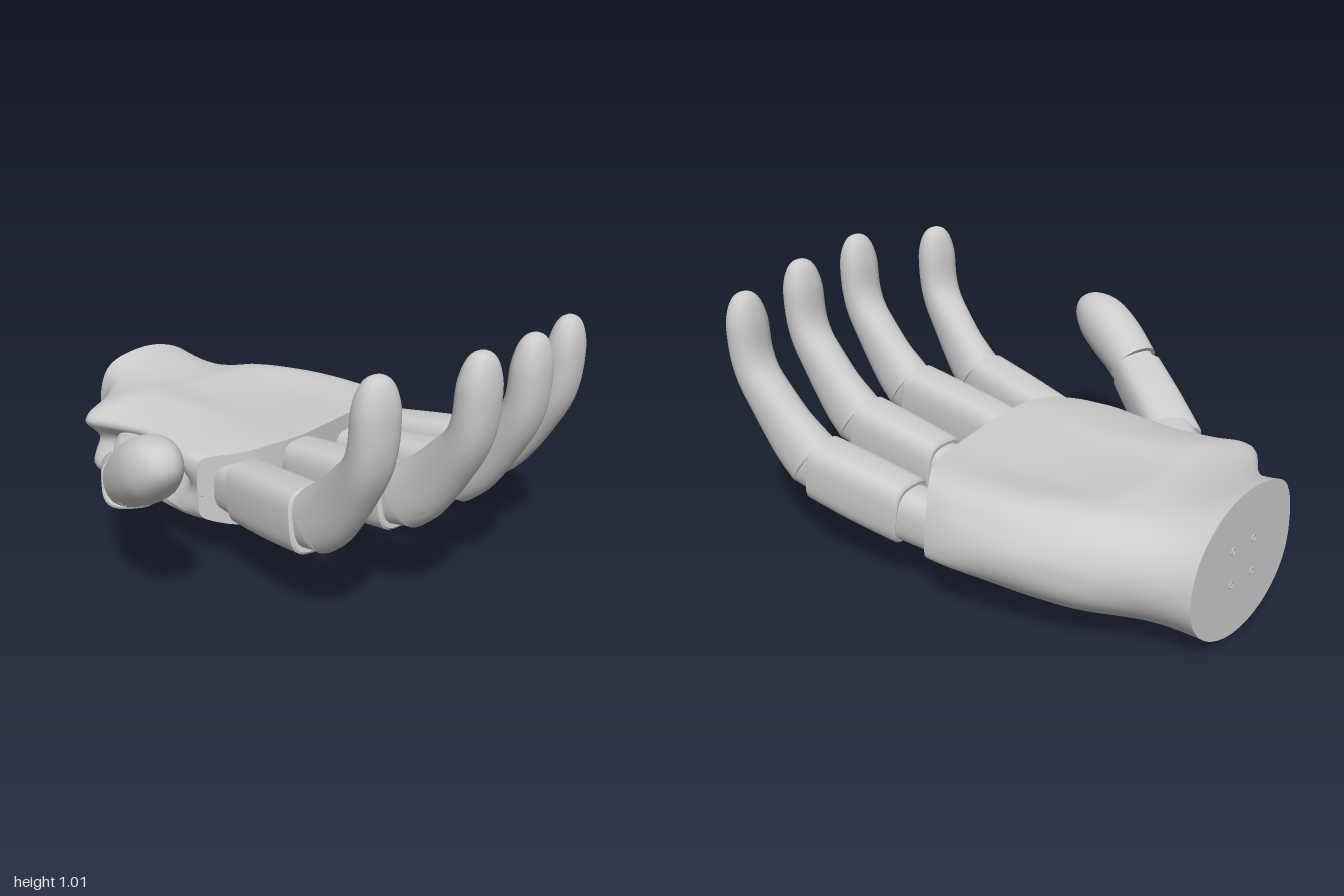
import * as THREE from 'three';
import { toCreasedNormals } from 'three/addons/utils/BufferGeometryUtils.js';

const material = new THREE.MeshStandardMaterial({ color: 0xcccccc });

// Catmull-Rom through evenly spaced rows of numbers
function spline(rows, t, closed = false) {
  const n = rows.length, f = t * (closed ? n : n - 1);
  const i = closed ? Math.floor(f) : Math.min(Math.floor(f), n - 2), s = f - i;
  const at = k => rows[closed ? (k + n) % n : Math.max(0, Math.min(n - 1, k))];
  const [a, b, c, d] = [at(i - 1), at(i), at(i + 1), at(i + 2)];
  return b.map((p, k) => p + 0.5 * s * (c[k] - a[k]
    + s * (2 * a[k] - 5 * p + 4 * c[k] - d[k] + s * (3 * (p - c[k]) + d[k] - a[k]))));
}
const curve = (values, t) => spline(values.map(v => [v]), t)[0];

// Skin a list of closed rings
function skin(name, rings, crease = 0.6) {
  const n = rings[0].length, index = [];
  for (let i = 0; i < rings.length - 1; i++) {
    for (let j = 0; j < n; j++) {
      const a = i * n + j, b = i * n + (j + 1) % n;
      index.push(a, a + n, b, b, a + n, b + n);
    }
  }
  const geometry = new THREE.BufferGeometry().setFromPoints(rings.flat());
  geometry.setIndex(index);
  const mesh = new THREE.Mesh(toCreasedNormals(geometry, crease), material);
  mesh.name = name;
  return mesh;
}

// Sweep a rounded section along points [x, y, z, halfThickness, halfWidth]
function limb(name, points, yaw, { square = 0.7, tip = 0, steps = 10 } = {}) {
  const side = new THREE.Vector3(-Math.sin(yaw), 0, Math.cos(yaw)), rings = [];
  const ring = (t, scale) => {
    const [x, y, z, ht, hw] = spline(points, t);
    const p = spline(points, Math.max(0, t - 0.02)), q = spline(points, Math.min(1, t + 0.02));
    const along = new THREE.Vector3(q[0] - p[0], q[1] - p[1], q[2] - p[2]).normalize();
    const up = side.clone().cross(along).normalize();
    const across = along.clone().cross(up);
    const bend = v => Math.sign(v) * Math.abs(v) ** square;
    return Array.from({ length: 32 }, (_, j) => {
      const a = j / 32 * Math.PI * 2;
      return new THREE.Vector3(x, y, z)
        .addScaledVector(across, bend(Math.cos(a)) * hw * scale)
        .addScaledVector(up, bend(Math.sin(a)) * ht * scale);
    });
  };
  rings.push(ring(0, 0.001), ring(0, 0.93));
  for (let i = 0; i <= steps; i++) {
    const f = i / steps, t = tip ? Math.sin(f * Math.PI / 2) : 0.03 + 0.94 * f;
    const over = tip ? Math.max(0, (t - 1 + tip) / tip) : 0;
    rings.push(ring(t, Math.max(0.001, Math.sqrt(Math.max(0, 1 - over * over)))));
  }
  if (!tip) rings.push(ring(1, 0.93), ring(1, 0.001));
  return skin(name, rings);
}

function makePalm() {
  // Sections [u, y] from the wrist to the knuckles, with a hollow for the thumb at u = 1
  const wrist = [[1, .28], [.96, .41], [.76, .49], [.32, .525], [-.1, .522], [-.5, .48], [-.85, .39],
    [-1, .27], [-.94, .16], [-.67, .075], [-.25, .03], [.2, .035], [.6, .085], [.88, .17]];
  const heel = [[.87, .31], [1, .39], [.87, .445], [.5, .48], [.1, .465], [-.4, .465], [-.72, .455],
    [-.92, .39], [-1, .28], [-.9, .16], [-.5, .04], [0, 0], [.5, .045], [.93, .18]];
  const middle = [[.78, .3], [.98, .405], [.86, .445], [.5, .465], [.2, .455], [-.35, .45], [-.76, .465],
    [-.94, .385], [-1, .28], [-.88, .17], [-.5, .07], [0, .03], [.5, .055], [.95, .15]];
  const knuckles = [[.985, .3], [1, .39], [.93, .435], [.6, .467], [.2, .468], [-.35, .465], [-.78, .465],
    [-.93, .39], [-1, .26], [-.93, .195], [-.5, .165], [0, .155], [.5, .16], [.95, .185]];
  const keys = [wrist, heel, middle, knuckles].map(k => k.flat());
  // Plan outline on the thumb side, the far side and along the knuckles
  const near = [.13, .16, .25, .38, .36, .335, .315, .315, .325, .335, .32];
  const far = [-.44, -.465, -.51, -.575, -.625, -.66, -.69, -.71, -.725, -.735, -.735];
  const knuckleX = [-.14, -.05, .015, .05, .08, .105, .11, .08, -.03];

  const ring = (t, scaleU = 1, scaleY = 1) => {
    const flat = spline(keys, t), pts = [];
    for (let i = 0; i < 14; i++) pts.push([flat[2 * i], flat[2 * i + 1]]);
    const zn = curve(near, t), zf = curve(far, t);
    const dip = 0.09 * Math.sin(Math.PI * Math.min(1, 3 * t));
    return Array.from({ length: 84 }, (_, j) => {
      let [u, y] = spline(pts, j / 84, true);
      y -= dip * Math.max(0, y - 0.28);
      u = Math.max(-1, Math.min(1, u)) * scaleU;
      y = 0.28 + (y - 0.28) * scaleY;
      const front = curve(knuckleX, (u + 1) / 2);
      return new THREE.Vector3(-1 + t * (front + 1), y, (zn + zf) / 2 + u * (zn - zf) / 2);
    });
  };
  const rings = [ring(0, 0.001, 0.001)];
  for (let i = 0; i <= 36; i++) rings.push(ring(i / 36));
  rings.push(ring(1, 1, 0.5), ring(1, 1, 0));
  return skin('palm', rings);
}

// r is measured from the middle joint; the finger curls up from there
function makeFinger(name, x, z, dy, yaw, length) {
  const finger = new THREE.Group();
  finger.name = name;
  const place = rows => rows.map(([r, y, ht, hw]) =>
    [x + r * Math.cos(yaw), y + dy, z + r * Math.sin(yaw), ht, hw]);
  finger.add(
    limb('knuckle', place([[-length - 0.16, .305, .095, .078], [-length + 0.06, .325, .1, .08]]), yaw),
    limb('lowerSegment', place([[-length, .323, .115, .088], [-length / 2, .355, .118, .092],
      [-0.02, .387, .115, .09]]), yaw, { square: 0.6 }),
    limb('middleJoint', place([[-0.08, .38, .1, .077], [0.06, .415, .1, .077]]), yaw),
    limb('fingertip', place([[.015, .402, .113, .084], [.075, .45, .111, .079], [.135, .51, .1, .075],
      [.2, .59, .087, .075], [.262, .675, .072, .078], [.292, .76, .064, .08],
      [.3, .87, .061, .08], [.303, .99, .055, .073]]), yaw, { square: 0.85, tip: 0.15, steps: 28 }));
  return finger;
}

function makeThumb() {
  const thumb = new THREE.Group();
  thumb.name = 'thumb';
  thumb.add(
    limb('thumbBase', [[-.51, .295, .26, .088, .09], [-.3, .32, .42, .09, .09]], 0.6),
    limb('thumbSegment', [[-.335, .295, .42, .097, .103], [-.15, .375, .53, .1, .103],
      [.025, .45, .635, .092, .1]], 0.52, { square: 0.65 }),
    limb('thumbJoint', [[-.01, .435, .615, .082, .088], [.12, .5, .67, .085, .088]], 0.45),
    limb('thumbTip', [[.05, .475, .65, .095, .097], [.16, .545, .68, .11, .105],
      [.27, .61, .705, .108, .102], [.39, .67, .725, .088, .09]], 0.3,
    { square: 0.9, tip: 0.4, steps: 24 }));
  return thumb;
}

export function createModel() {
  const hand = new THREE.Group();
  hand.name = 'hand';
  hand.add(makePalm(), makeThumb());
  hand.add(
    makeFinger('indexFinger', .56, .265, 0, .13, .45),
    makeFinger('middleFinger', .64, -.055, .02, 0, .53),
    makeFinger('ringFinger', .575, -.375, -.005, -.05, .42),
    makeFinger('littleFinger', .46, -.69, -.035, -.14, .43));
  // Mounting hole rims on the wrist face
  for (const dy of [-0.06, 0.06]) {
    for (const dz of [-0.06, 0.06]) {
      const rim = new THREE.Mesh(new THREE.TorusGeometry(0.011, 0.003, 6, 16), material);
      rim.name = 'mountingHole';
      rim.rotation.y = Math.PI / 2;
      rim.position.set(-1, 0.28 + dy, -0.155 + dz);
      hand.add(rim);
    }
  }
  return hand;
}
